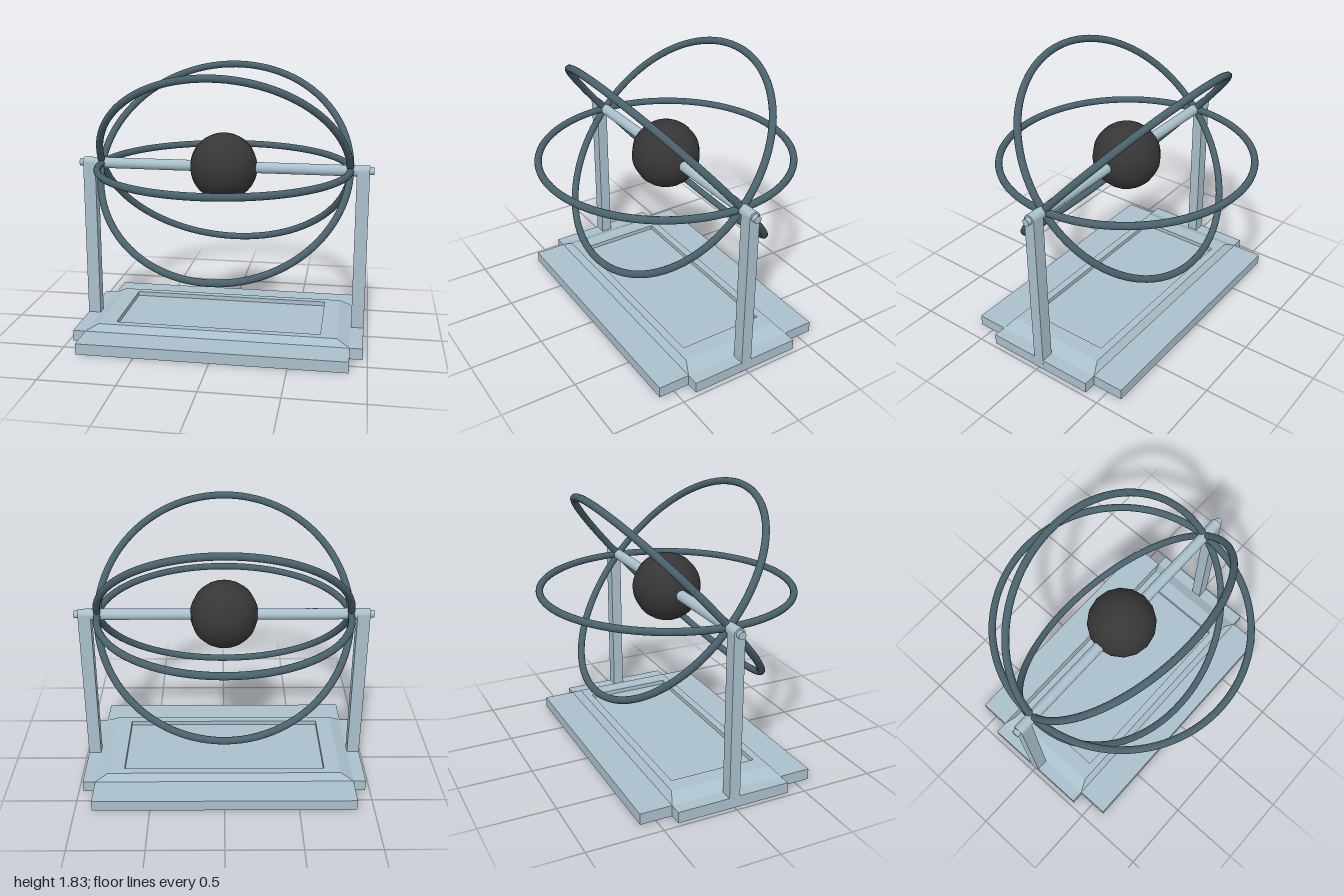
import * as THREE from 'three';

const AXIS_Y = 1.16;

export function createModel() {
  const model = new THREE.Group();
  const frame = new THREE.MeshStandardMaterial({ color: 0xa9c0cb });
  const frameFlat = new THREE.MeshStandardMaterial({ color: 0xa9c0cb });
  frameFlat.flatShading = true;
  const ringMat = new THREE.MeshStandardMaterial({ color: 0x4a626c });
  const ballMat = new THREE.MeshStandardMaterial({ color: 0x363636 });

  const add = (name, geometry, material, x = 0, y = 0, z = 0) => {
    const mesh = new THREE.Mesh(geometry, material);
    mesh.name = name;
    mesh.position.set(x, y, z);
    model.add(mesh);
    return mesh;
  };

  // Base plate: rectangle with notched corners
  const [xo, xi, zo, zi] = [0.97, 0.885, 0.605, 0.39];
  const outline = new THREE.Shape([
    [xo, -zi], [xo, zi], [xi, zi], [xi, zo], [-xi, zo], [-xi, zi],
    [-xo, zi], [-xo, -zi], [-xi, -zi], [-xi, -zo], [xi, -zo], [xi, -zi],
  ].map(([x, z]) => new THREE.Vector2(x, z)));
  const plate = new THREE.ExtrudeGeometry(outline, { depth: 0.075, bevelEnabled: false });
  plate.rotateX(-Math.PI / 2);
  add('basePlate', plate, frame);

  // Raised deck: sloped sides, flat rim and a shallow rectangular recess
  const levels = [
    [0.885, 0.39, 0.075], [0.8, 0.353, 0.12], [0.69, 0.3, 0.12], [0.69, 0.3, 0.09],
  ];
  const positions = [];
  const index = [];
  for (const [x, z, y] of levels) positions.push(x, y, z, x, y, -z, -x, y, -z, -x, y, z);
  for (let l = 0; l < levels.length - 1; l++) {
    for (let i = 0; i < 4; i++) {
      const a = l * 4 + i;
      const b = l * 4 + (i + 1) % 4;
      index.push(a, b, b + 4, a, b + 4, a + 4);
    }
  }
  const f = (levels.length - 1) * 4;
  index.push(f, f + 1, f + 2, f, f + 2, f + 3);
  let deck = new THREE.BufferGeometry();
  deck.setAttribute('position', new THREE.Float32BufferAttribute(positions, 3));
  deck.setIndex(index);
  deck = deck.toNonIndexed();
  deck.computeVertexNormals();
  add('raisedDeck', deck, frameFlat);

  // Posts with rounded tops, and the small pins outside them
  const postShape = new THREE.Shape();
  postShape.moveTo(-0.037, 0);
  postShape.lineTo(0.037, 0);
  postShape.lineTo(0.037, AXIS_Y);
  postShape.absarc(0, AXIS_Y, 0.037, 0, Math.PI, false);
  postShape.lineTo(-0.037, 0);
  const post = new THREE.ExtrudeGeometry(postShape, { depth: 0.085, bevelEnabled: false, curveSegments: 12 });
  post.translate(0, 0, -0.0425);
  post.rotateY(Math.PI / 2);
  for (const [side, s] of [['left', 1], ['right', -1]]) {
    add(side + 'Post', post, frame, s * 0.9285);
    add(side + 'Pin', new THREE.CylinderGeometry(0.025, 0.025, 0.06, 16), frame, s * 0.97, AXIS_Y)
      .rotation.z = Math.PI / 2;
  }

  // Axle and central ball
  add('axle', new THREE.CylinderGeometry(0.037, 0.037, 1.92, 24), frame, 0, AXIS_Y)
    .rotation.z = Math.PI / 2;
  add('centralBall', new THREE.SphereGeometry(0.228, 16, 32), ballMat, 0, AXIS_Y);

  // Three rings turned around the axle
  const ring = new THREE.TorusGeometry(0.844, 0.024, 14, 96);
  [0.7, -0.72, 1.578].forEach((angle, i) => {
    add('ring' + (i + 1), ring, ringMat, 0, AXIS_Y).rotation.x = angle;
  });

  return model;
}
